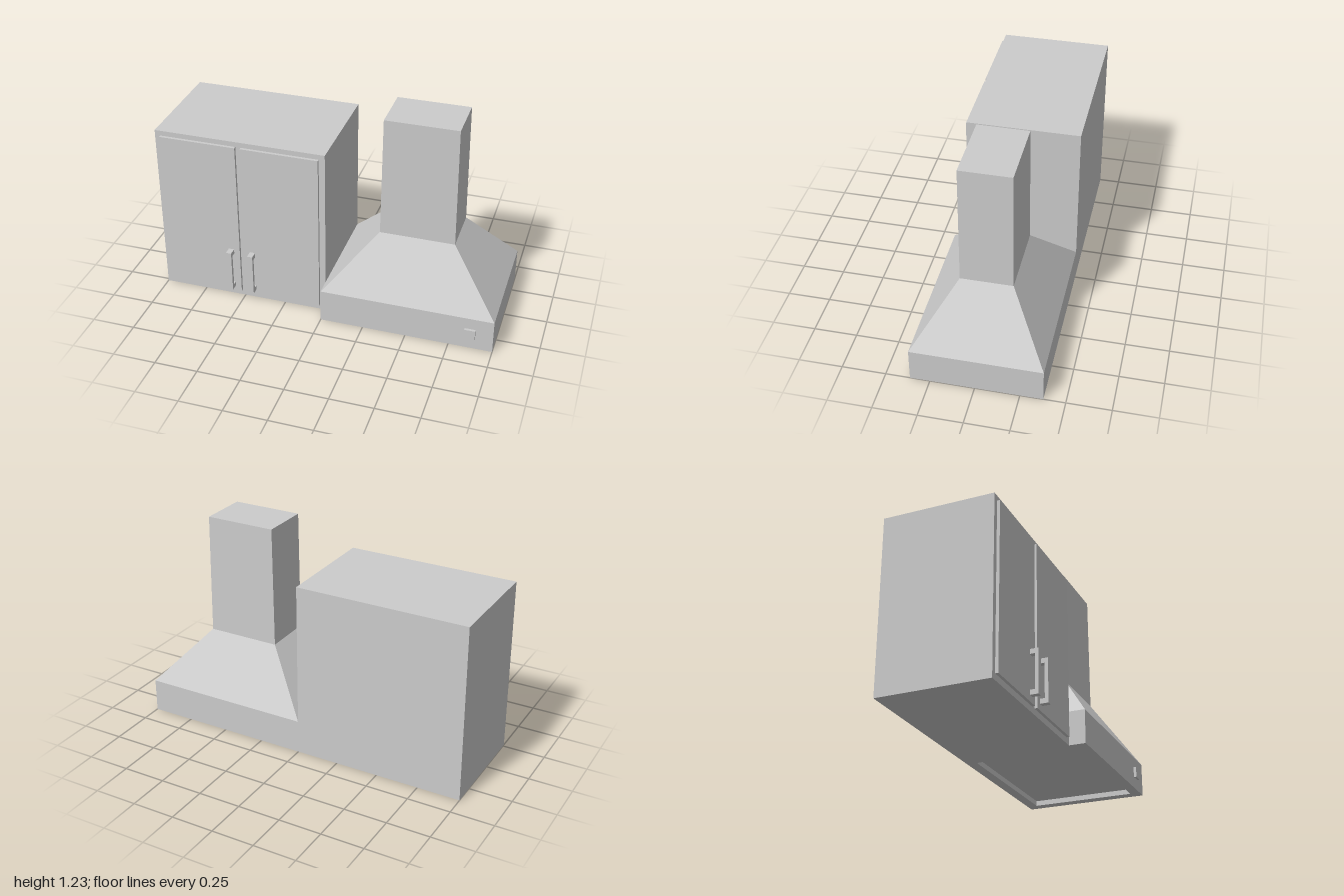
import * as THREE from 'three';

const grey = new THREE.MeshStandardMaterial({ color: 0xcccccc, flatShading: true });

function add(parent, name, geometry) {
  const mesh = new THREE.Mesh(geometry, grey);
  mesh.name = name;
  parent.add(mesh);
  return mesh;
}

// Box given by its minimum and maximum on each axis
function box(parent, name, x0, x1, y0, y1, z0, z1) {
  const mesh = add(parent, name, new THREE.BoxGeometry(x1 - x0, y1 - y0, z1 - z0));
  mesh.position.set((x0 + x1) / 2, (y0 + y1) / 2, (z0 + z1) / 2);
  return mesh;
}

// Four-sided tapered solid: a unit box whose corners move to two rectangles [y, x0, x1, z0, z1]
function taper(parent, name, bottom, top) {
  const geometry = new THREE.BoxGeometry(1, 1, 1);
  const p = geometry.attributes.position;
  for (let i = 0; i < p.count; i++) {
    const [y, x0, x1, z0, z1] = p.getY(i) > 0 ? top : bottom;
    p.setXYZ(i, p.getX(i) > 0 ? x1 : x0, y, p.getZ(i) > 0 ? z1 : z0);
  }
  geometry.computeVertexNormals();
  return add(parent, name, geometry);
}

function rectangle(PathType, x0, x1, y0, y1) {
  const path = new PathType();
  path.moveTo(x0, y0).lineTo(x1, y0).lineTo(x1, y1).lineTo(x0, y1).closePath();
  return path;
}

const BACK = -0.378;

function createCabinet() {
  const cabinet = new THREE.Group();
  cabinet.name = 'wallCabinet';
  const front = 0.265, doorFront = 0.282;
  box(cabinet, 'cabinetBody', -1, 0, 0, 1.03, BACK, front);

  // C-shaped handle profile: x is the distance from the door, y the height
  const profile = new THREE.Shape(
    [[0, 0.07], [0.048, 0.07], [0.048, 0.325], [0, 0.325], [0, 0.297],
      [0.028, 0.297], [0.028, 0.098], [0, 0.098]].map(([x, y]) => new THREE.Vector2(x, y)));
  const handleGeometry = new THREE.ExtrudeGeometry(profile, { depth: 0.032, bevelEnabled: false });
  handleGeometry.translate(0, 0, -0.016).rotateY(-Math.PI / 2);

  // Door pair with handles beside the central gap
  for (const [side, x0, handleX] of [['right', -0.968, -0.568], ['left', -0.486, -0.438]]) {
    box(cabinet, side + 'Door', x0, x0 + 0.451, 0.035, 1.0, front, doorFront);
    add(cabinet, side + 'DoorHandle', handleGeometry).position.set(handleX, 0, doorFront);
  }
  return cabinet;
}

function createHood() {
  const hood = new THREE.Group();
  hood.name = 'rangeHood';
  const front = 0.362, inset = 0.06;

  // Open rim with the filter panel recessed in its underside
  const rim = rectangle(THREE.Shape, 0, 1, -front, -BACK);
  rim.holes.push(rectangle(THREE.Path, inset, 1 - inset, -front + inset, -BACK - inset));
  const rimGeometry = new THREE.ExtrudeGeometry(rim, { depth: 0.198, bevelEnabled: false });
  rimGeometry.rotateX(-Math.PI / 2);
  add(hood, 'hoodRim', rimGeometry);
  box(hood, 'filterPanel', inset, 1 - inset, 0.03, 0.05, BACK + inset, front - inset);

  // Sloped canopy and slightly tapering chimney
  const neck = [0.518, 0.283, 0.715, -0.155, 0.14];
  taper(hood, 'canopy', [0.198, 0, 1, BACK, front], neck);
  taper(hood, 'chimney', neck, [1.227, 0.29, 0.707, -0.152, 0.138]);

  box(hood, 'controlButton', 0.838, 0.9, 0.068, 0.13, front, 0.378);
  return hood;
}

export function createModel() {
  const model = new THREE.Group();
  model.name = 'cabinetAndRangeHood';
  model.add(createCabinet(), createHood());
  return model;
}
